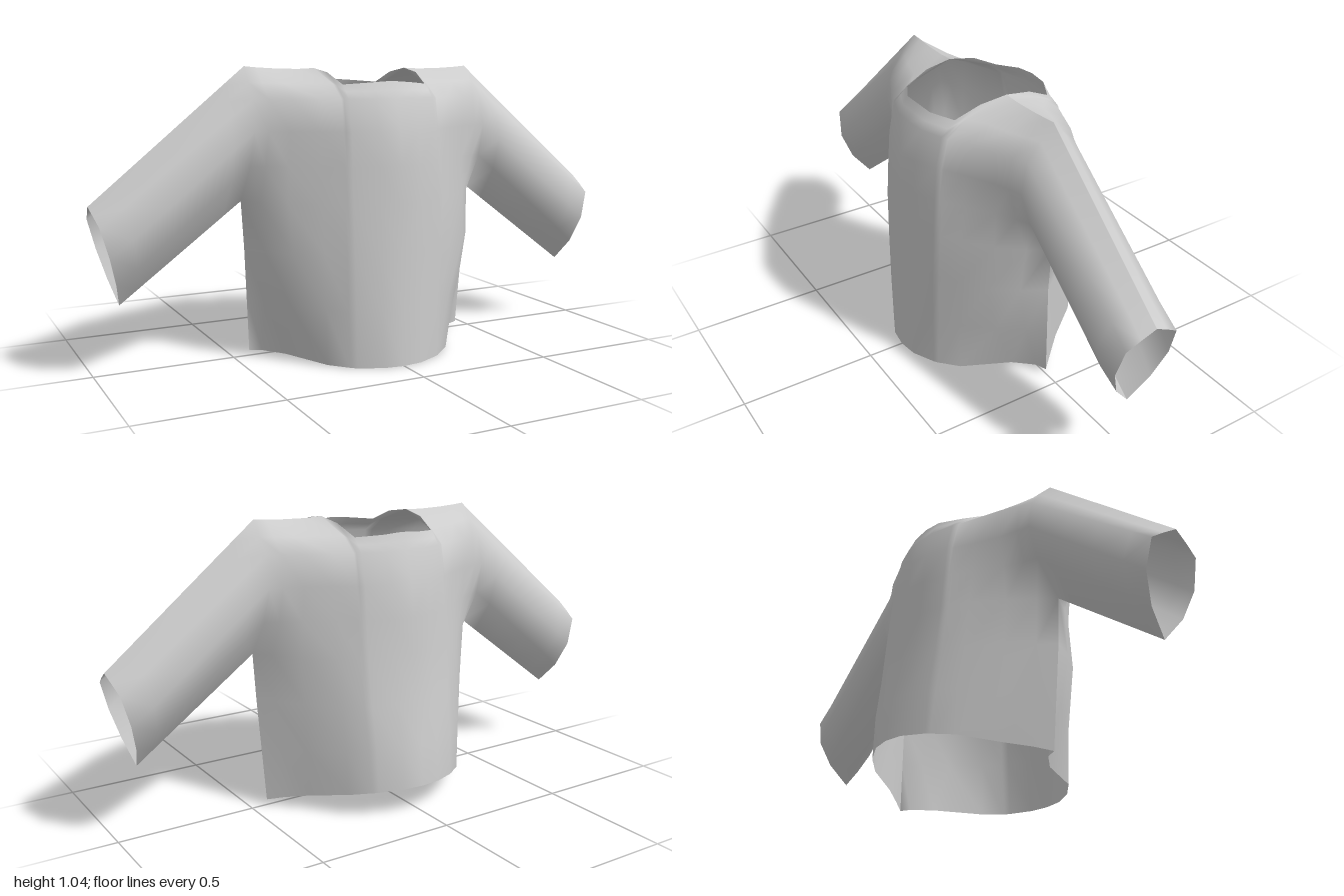
import * as THREE from 'three';
import { mergeVertices } from 'three/addons/utils/BufferGeometryUtils.js';

const SEAM_Z = 0.02;
const lerp = THREE.MathUtils.lerp;

// Half panel, centre line to armhole: column positions as share of half width
const COLS = [0, 0.17, 0.36, 0.395, 0.41, 0.55, 0.75, 0.9, 1];
const TOP_Y = [0.99, 0.985, 0.978, 1.018, 1.033, 1.03, 1.032, 1.036, 1.04];
// Rows from hem to neckline: height, half width, seam z, back/front depth ratio,
// extra fullness of the front near the sides, depth per column
const ROWS = [
  [0.00, 0.44, 0.00, 0.99, -0.045, [0.365, 0.355, 0.315, 0.305, 0.298, 0.248, 0.125, 0.050, 0]],
  [0.20, 0.45, 0.01, 1.03, 0.010, [0.345, 0.338, 0.305, 0.295, 0.290, 0.243, 0.135, 0.054, 0]],
  [0.40, 0.46, 0.02, 1.03, 0.035, [0.325, 0.320, 0.292, 0.284, 0.280, 0.235, 0.140, 0.058, 0]],
  [0.57, 0.47, 0.02, 0.985, 0.015, [0.320, 0.315, 0.287, 0.278, 0.272, 0.230, 0.140, 0.060, 0]],
  [0.70, 0.465, 0.02, 0.97, 0, [0.320, 0.310, 0.278, 0.268, 0.262, 0.215, 0.148, 0.113, 0.090]],
  [0.82, 0.46, 0.02, 0.96, 0, [0.310, 0.300, 0.268, 0.256, 0.250, 0.210, 0.162, 0.138, 0.125]],
  [0.93, 0.455, 0.02, 0.95, 0, [0.276, 0.272, 0.243, 0.236, 0.230, 0.203, 0.165, 0.125, 0.102]],
  [null, 0.453, 0.02, 0.96, 0, [0.257, 0.254, 0.218, 0.180, 0.160, 0.115, 0.090, 0.066, 0.050]],
  [null, 0.45, 0.02, 0.98, 0, [0.240, 0.235, 0.190, 0.100, 0, 0, 0, 0, 0]],
];
const FULLNESS = [0, 0, 0, 0, 0, 0, 1, 0.8, 0]; // weight of the extra fullness per column
const UNDERARM = 3; // row where the armhole starts
// Sleeve outline from underarm seam to top seam: share of height, cuff depth, upper sleeve depth
const SLEEVE = [
  [0, 0, 0], [0.24, 0.07, 0.081], [0.53, 0.108, 0.125],
  [0.83, 0.1, 0.095], [0.92, 0.05, 0.047], [1, 0, 0],
];

// One torso column of points
function torsoColumn(c, back) {
  const hemDepth = ROWS[0][5][c];
  const hem = back ? 0.02 + 0.08 * (hemDepth / 0.365) ** 0.8
    : 0.02 * Math.max(0, (COLS[c] - 0.4) / 0.6);
  return ROWS.map(([h, w, seam, ratio, extra, depths], r) => {
    let y = h;
    if (r === 7) y = (0.93 + TOP_Y[c]) / 2;
    if (r === 8) y = TOP_Y[c];
    if (r < 2) y += hem * (1 - h / 0.4);
    const z = back ? -depths[c] * ratio : depths[c] + extra * FULLNESS[c];
    return [COLS[c] * w, y, seam + z];
  });
}

// One sleeve column, t = 0 at the armhole and 1 at the cuff
function sleeveColumn(t, armhole, back) {
  return armhole.slice(UNDERARM).map(([x, y, z], i) => {
    const [f, cuff, upper] = SLEEVE[i];
    const depth = t < 1 ? upper : cuff;
    const end = lerp(0.028, SEAM_Z, f) + (back ? -depth : depth);
    return [lerp(x, lerp(0.91, 1, f), t), lerp(y, lerp(0.245, 0.585, f), t), lerp(z, end, t)];
  });
}

// Adds the quads between neighbouring columns, mirrored on request
function addGrid(out, columns, mirror, back) {
  const flip = mirror !== back;
  const put = (p) => out.push(mirror ? -p[0] : p[0], p[1], p[2]);
  for (let i = 0; i < columns.length - 1; i++) {
    for (let j = 0; j < columns[i].length - 1; j++) {
      const a = columns[i][j], b = columns[i + 1][j];
      const c = columns[i + 1][j + 1], d = columns[i][j + 1];
      (flip ? [a, c, b, a, d, c] : [a, b, c, a, c, d]).forEach(put);
    }
  }
}

// A whole front or back panel, sleeves included, with smooth normals
function panelGeometry(back) {
  const torso = COLS.map((_, c) => torsoColumn(c, back));
  const armhole = torso[torso.length - 1];
  const sleeve = [0, 0.15, 0.35, 0.6, 0.85, 1].map((t) => sleeveColumn(t, armhole, back));
  const out = [];
  for (const mirror of [false, true]) {
    addGrid(out, torso, mirror, back);
    addGrid(out, sleeve, mirror, back);
  }
  const raw = new THREE.BufferGeometry();
  raw.setAttribute('position', new THREE.Float32BufferAttribute(out, 3));
  const geometry = mergeVertices(raw, 1e-4);
  geometry.computeVertexNormals();
  return geometry;
}

export function createModel() {
  const group = new THREE.Group();
  group.name = 'shirt';
  const fabric = new THREE.MeshStandardMaterial({ color: 0xcccccc, side: THREE.DoubleSide });
  fabric.name = 'greyFabric';
  // Front and back panels meet at the shoulder, sleeve and side seams
  for (const back of [false, true]) {
    const panel = new THREE.Mesh(panelGeometry(back), fabric);
    panel.name = back ? 'backPanel' : 'frontPanel';
    group.add(panel);
  }
  return group;
}
